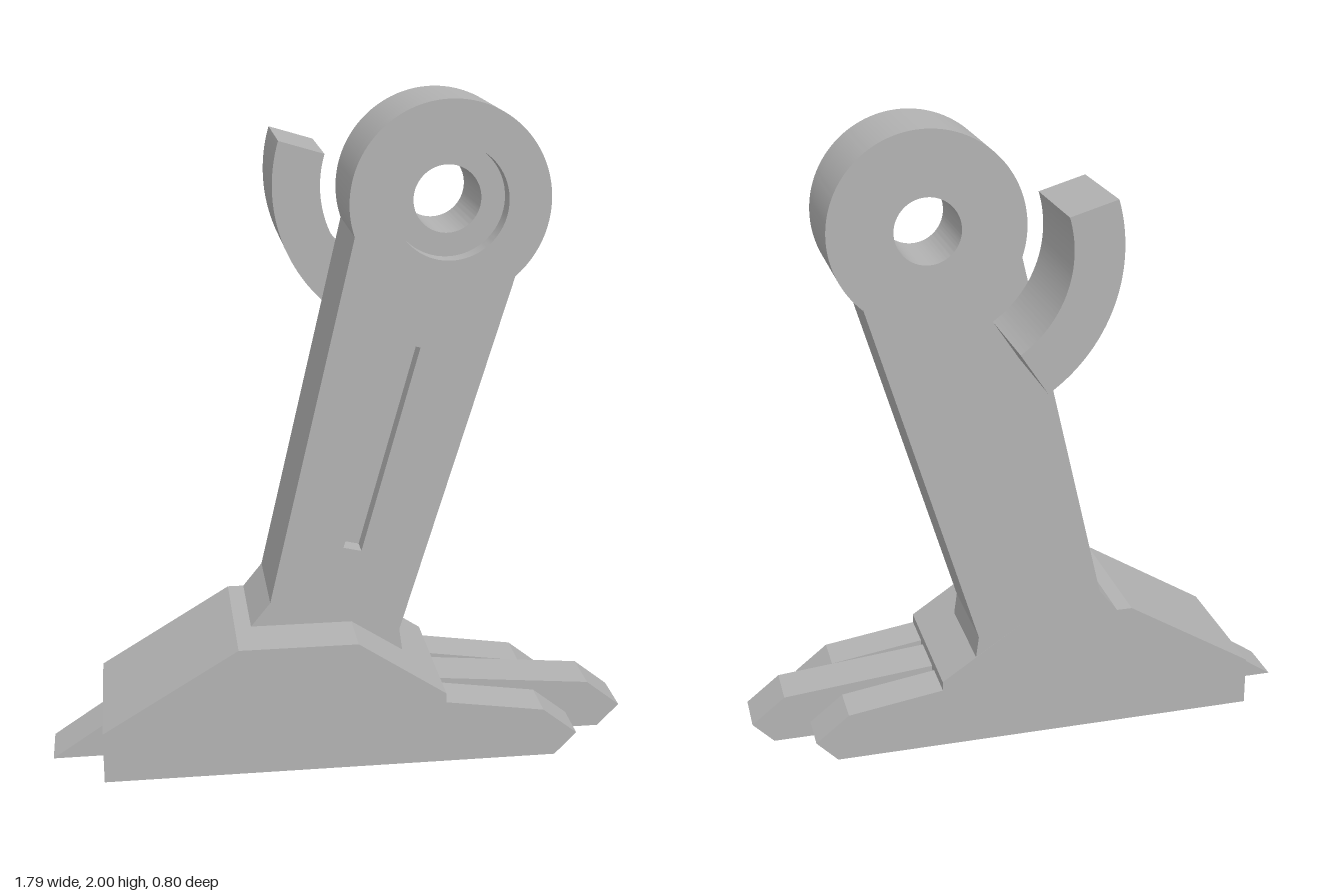
import * as THREE from 'three';
import { toCreasedNormals } from 'three/addons/utils/BufferGeometryUtils.js';

const rad = THREE.MathUtils.degToRad;
const BACK = -0.08, FOOT_FRONT = 0.4, LEG_FRONT = 0.235;
const HEAD = { x: 0.315, y: 1.705, r: 0.295 };

const polygon = (points) => new THREE.Shape(points.map(([x, y]) => new THREE.Vector2(x, y)));

const circleHole = (r) => new THREE.Path().absarc(HEAD.x, HEAD.y, r, 0, Math.PI * 2, true);

// Leg side profile: slanted shank, flared ankle and round head
function legShape() {
  const s = new THREE.Shape();
  s.moveTo(-0.28, 0.41);
  s.lineTo(0.03, 0.41);
  s.lineTo(0.19, 0.305);
  s.lineTo(0.18, 0.375);
  s.lineTo(0.51, 1.485);
  s.absarc(HEAD.x, HEAD.y, HEAD.r, rad(-48.4), rad(198.8), false);
  s.lineTo(-0.22, 0.485);
  s.closePath();
  return s;
}

export function createModel() {
  const model = new THREE.Group();
  const grey = new THREE.MeshStandardMaterial({ color: 0xb2b2b2 });
  grey.name = 'grey';

  // Extrudes a side profile between two depths
  function slab(name, shape, z0, z1) {
    const geometry = new THREE.ExtrudeGeometry(shape, {
      depth: z1 - z0, bevelEnabled: false, curveSegments: 64,
    });
    const mesh = new THREE.Mesh(toCreasedNormals(geometry, rad(20)), grey);
    mesh.name = name;
    mesh.position.z = z0;
    model.add(mesh);
  }

  // Foot block
  slab('foot', polygon([
    [-0.74, 0], [0.3, 0], [0.3, 0.23], [0.03, 0.41], [-0.33, 0.41], [-0.74, 0.16],
  ]), BACK, FOOT_FRONT);

  // Three toes, the middle one longer
  const toe = (reach) => polygon([
    [0.3, 0], [0.645 + reach, 0], [0.712 + reach, 0.07], [0.605 + reach, 0.155], [0.3, 0.2],
  ]);
  slab('frontToe', toe(0), 0.265, FOOT_FRONT);
  slab('middleToe', toe(0.183), 0.085, 0.235);
  slab('backToe', toe(0), BACK, 0.055);

  // Heel spur
  slab('heelSpur', polygon([[-0.897, 0], [-0.74, 0], [-0.74, 0.105]]), 0.078, 0.235);

  // Leg: rear layer with the axle hole, front layer with counterbore and slot
  const recess = LEG_FRONT - 0.06;
  const rear = legShape();
  rear.holes.push(circleHole(0.1));
  slab('legRear', rear, BACK, recess);

  const front = legShape();
  const slot = polygon([[0.005, 0.655], [0.18, 1.29], [0.232, 1.277], [0.06, 0.642]]);
  front.holes.push(circleHole(0.17), slot);
  slab('legFront', front, recess, LEG_FRONT);

  // Curved hook behind the head, concentric with the axle hole
  const hook = new THREE.Shape();
  const start = rad(163.5), end = rad(236.5);
  hook.absarc(HEAD.x, HEAD.y, 0.488, start, end, false);
  hook.absarc(HEAD.x, HEAD.y, 0.342, end, start, true);
  hook.closePath();
  slab('hook', hook, -0.4, BACK);

  return model;
}
